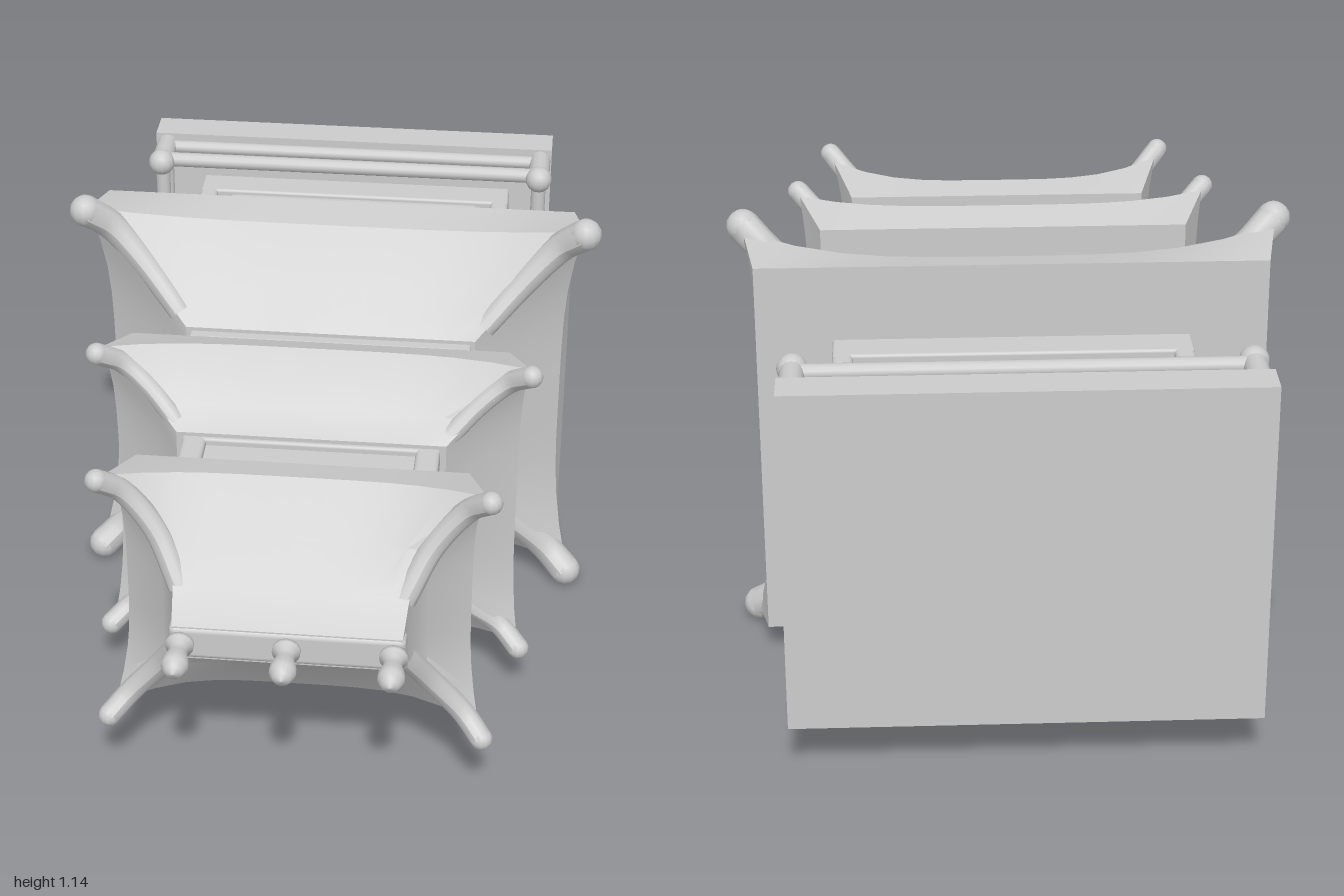
import * as THREE from 'three';
import { toCreasedNormals } from 'three/addons/utils/BufferGeometryUtils.js';
import { RoundedBoxGeometry } from 'three/addons/geometries/RoundedBoxGeometry.js';

const mat = new THREE.MeshStandardMaterial({ color: 0xcccccc });
const V = (x, y, z) => new THREE.Vector3(x, y, z);

function add(parent, name, geo, x = 0, y = 0, z = 0) {
  const m = new THREE.Mesh(geo, mat);
  m.name = name;
  m.position.set(x, y, z);
  parent.add(m);
  return m;
}

// box spanning z0..z1 along the tower axis, centred on the axis unless shifted
function block(parent, name, w, h, z0, z1, x = 0, y = 0, r = 0) {
  const d = z1 - z0;
  const geo = r ? new RoundedBoxGeometry(w, h, d, 2, r) : new THREE.BoxGeometry(w, h, d);
  return add(parent, name, geo, x, y, (z0 + z1) / 2);
}

// rod between two points
function rod(parent, name, a, b, r) {
  const m = add(parent, name, new THREE.CylinderGeometry(r, r, a.distanceTo(b), 12));
  m.position.copy(a).lerp(b, 0.5);
  m.quaternion.setFromUnitVectors(V(0, 1, 0), b.clone().sub(a).normalize());
}

// roof skin: each ring is a rectangle [half x, half y, z] whose corners flare to a second [x, y, z]
function roofSkin(rings) {
  const n = 12, loop = 4 * n, pos = [], index = [];
  const mix = THREE.MathUtils.lerp;
  for (const [mid, corner = mid] of rings) {
    for (let s = 0; s < 4; s++) {
      for (let i = 0; i < n; i++) {
        const t = -1 + (2 * i) / n, c = Math.abs(t) ** 4;
        const x = mix(mid[0], corner[0], c), y = mix(mid[1], corner[1], c), z = mix(mid[2], corner[2], c);
        pos.push(...[[x, t * y, z], [-t * x, y, z], [-x, -t * y, z], [t * x, -y, z]][s]);
      }
    }
  }
  const last = (rings.length - 1) * loop, base = rings.length * loop;
  pos.push(0, 0, rings[0][0][2], 0, 0, rings.at(-1)[0][2]);
  for (let i = 0; i < loop; i++) {
    const j = (i + 1) % loop;
    for (let k = 0; k < last; k += loop) {
      index.push(k + i, k + j, k + loop + j, k + i, k + loop + j, k + loop + i);
    }
    index.push(base, j, i, base + 1, last + i, last + j);
  }
  const g = new THREE.BufferGeometry();
  g.setAttribute('position', new THREE.Float32BufferAttribute(pos, 3));
  g.setIndex(index);
  return toCreasedNormals(g, 0.5);
}

// tube whose radius changes from r0 to r1
function taperedTube(points, r0, r1) {
  const curve = new THREE.CatmullRomCurve3(points), steps = 14, sides = 10;
  const g = new THREE.TubeGeometry(curve, steps, 1, sides);
  const p = g.attributes.position, v = V();
  for (let i = 0; i < p.count; i++) {
    const u = Math.floor(i / (sides + 1)) / steps, c = curve.getPointAt(u);
    v.fromBufferAttribute(p, i).sub(c).multiplyScalar(r0 + (r1 - r0) * u).add(c);
    p.setXYZ(i, v.x, v.y, v.z);
  }
  g.computeVertexNormals();
  return g;
}

function roof(parent, name, rings, hip, r0, r1) {
  const g = new THREE.Group();
  g.name = name;
  parent.add(g);
  add(g, 'roofSlopes', roofSkin(rings));
  for (const sx of [-1, 1]) {
    for (const sy of [-1, 1]) {
      const pts = hip.map(([x, y, z]) => V(sx * x, sy * y, z));
      add(g, 'hipHorn', taperedTube(pts, r0, r1));
      const tip = pts.at(-1);
      add(g, 'hornTip', new THREE.SphereGeometry(r1, 12, 8), tip.x, tip.y, tip.z);
    }
  }
}

// storey: recessed core with corner posts and a band at each end
function storey(parent, name, hx, hy, z0, z1, post, band, inset) {
  const g = new THREE.Group();
  g.name = name;
  parent.add(g);
  block(g, 'wallCore', 2 * (hx - inset), 2 * (hy - inset), z0, z1);
  block(g, 'lowerBand', 2 * hx, 2 * hy, z0, z0 + band, 0, 0, 0.008);
  block(g, 'upperBand', 2 * hx, 2 * hy, z1 - band, z1, 0, 0, 0.008);
  for (const sx of [-1, 1]) {
    for (const sy of [-1, 1]) {
      block(g, 'cornerPost', post, post, z0, z1, sx * (hx - post / 2), sy * (hy - post / 2), 0.012);
    }
  }
  return g;
}

export function createModel() {
  const root = new THREE.Group();
  root.name = 'pagoda';
  // the tower lies on its side, its axis along z
  const tower = new THREE.Group();
  tower.name = 'tower';
  tower.position.y = 0.57;
  root.add(tower);

  // base slab with railing
  const base = new THREE.Group();
  base.name = 'base';
  base.position.x = -0.01;
  tower.add(base);
  block(base, 'baseSlab', 1.12, 0.865, -1, -0.905);
  const px = 0.528, py = 0.4;
  for (const s of [-1, 1]) {
    for (const t of [-1, 1]) {
      rod(base, 'railPost', V(s * px, t * py, -0.92), V(s * px, t * py, -0.79), 0.029);
      add(base, 'postKnob', new THREE.SphereGeometry(0.036, 14, 10), s * px, t * py, -0.79);
    }
    for (const [z, r] of [[-0.81, 0.02], [-0.89, 0.018]]) {
      rod(base, 'longRail', V(-px, s * py, z), V(px, s * py, z), r);
      rod(base, 'shortRail', V(s * px, -py, z), V(s * px, py, z), r);
    }
  }

  // storeys, with raised panels on the lowest
  const lower = storey(tower, 'lowerStorey', 0.435, 0.305, -0.92, -0.42, 0.05, 0.1, 0.025);
  block(lower, 'longPanel', 0.7, 0.585, -0.86, -0.55, 0, 0, 0.01);
  block(lower, 'endPanel', 0.845, 0.45, -0.86, -0.55, 0, 0, 0.01);
  storey(tower, 'middleStorey', 0.37, 0.24, -0.17, 0.12, 0.05, 0.05, 0.012);
  storey(tower, 'upperStorey', 0.32, 0.225, 0.28, 0.55, 0.06, 0.06, 0.018);

  // roofs
  roof(tower, 'lowerRoof', [
    [[0.62, 0.495, -0.43]],
    [[0.605, 0.475, -0.33], [0.65, 0.525, -0.27]],
    [[0.47, 0.33, -0.23], [0.46, 0.335, -0.2]],
    [[0.38, 0.25, -0.15]],
  ], [[0.4, 0.27, -0.19], [0.5, 0.38, -0.25], [0.59, 0.475, -0.275], [0.65, 0.53, -0.245]], 0.03, 0.042);
  roof(tower, 'middleRoof', [
    [[0.475, 0.375, 0.1]],
    [[0.51, 0.405, 0.18], [0.53, 0.415, 0.24]],
    [[0.39, 0.28, 0.26], [0.39, 0.28, 0.28]],
    [[0.335, 0.235, 0.33]],
  ], [[0.34, 0.24, 0.29], [0.41, 0.31, 0.25], [0.48, 0.37, 0.235], [0.535, 0.415, 0.275]], 0.025, 0.028);
  roof(tower, 'topRoof', [
    [[0.4, 0.295, 0.53]],
    [[0.42, 0.31, 0.61], [0.45, 0.34, 0.69]],
    [[0.32, 0.19, 0.7], [0.32, 0.19, 0.71]],
    [[0.28, 0.1, 0.78]],
    [[0.272, 0.045, 0.87]],
  ], [[0.265, 0.08, 0.76], [0.33, 0.2, 0.7], [0.41, 0.3, 0.69], [0.46, 0.35, 0.73]], 0.03, 0.028);

  // ridge cap and finials
  block(tower, 'ridgeCap', 0.56, 0.09, 0.82, 0.875, 0, 0, 0.015);
  const profile = [[0, 0], [0.034, 0], [0.034, 0.015], [0.022, 0.03], [0.024, 0.05],
    [0.032, 0.075], [0.032, 0.095], [0.02, 0.115], [0, 0.125]];
  const finial = new THREE.LatheGeometry(profile.map(([r, h]) => new THREE.Vector2(r, h)), 16);
  finial.rotateX(Math.PI / 2);
  for (const x of [-0.252, 0, 0.252]) add(tower, 'ridgeFinial', finial, x, 0, 0.87);

  return root;
}
